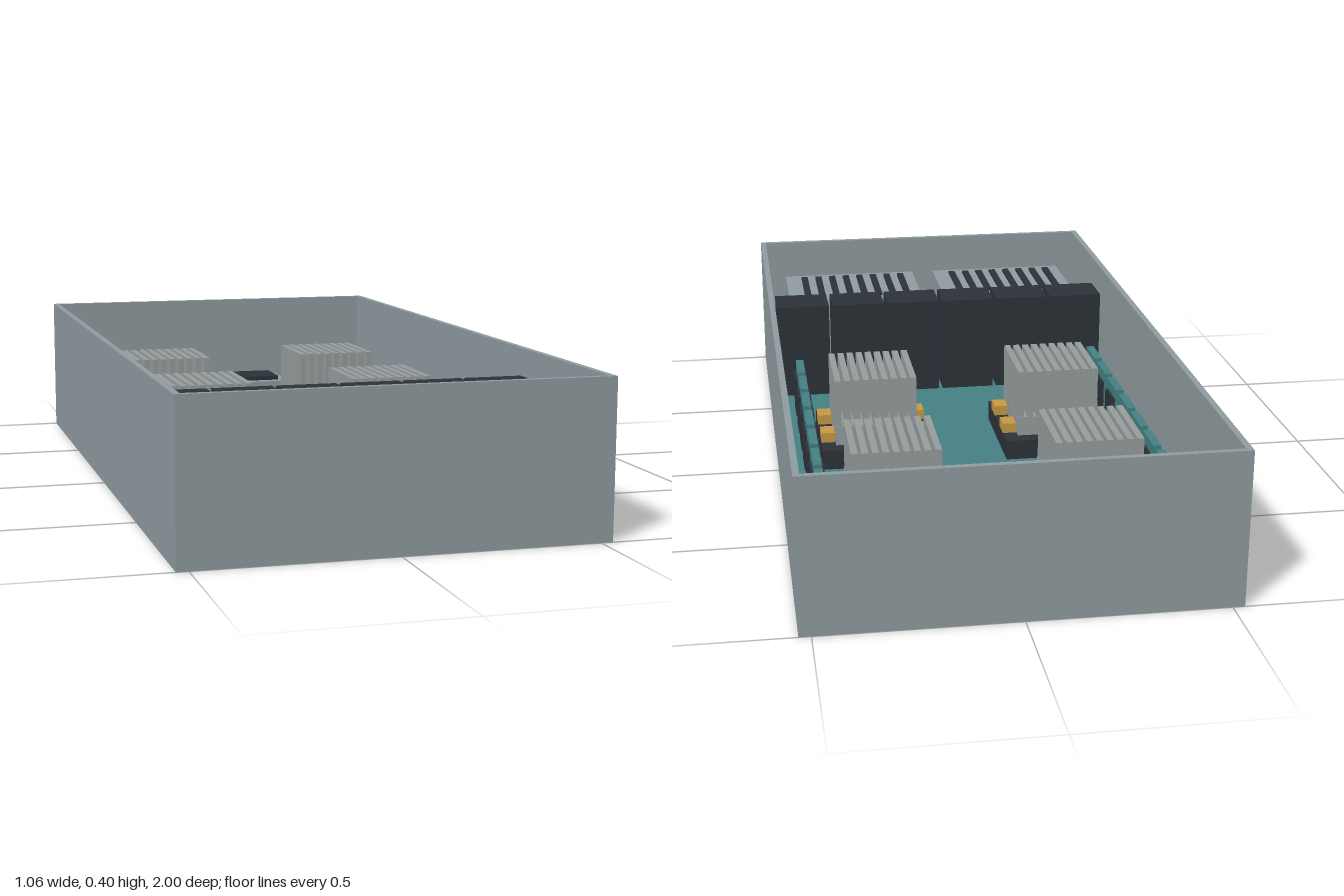
import * as THREE from 'three';

const mat = (name, color) => Object.assign(new THREE.MeshStandardMaterial({ color }), { name });

export function createModel() {
  const steel = mat('chassis steel', 0x919ea2);
  const alu = mat('heatsink aluminium', 0x989f9f);
  const teal = mat('board teal', 0x458285);
  const dark = mat('dark plastic', 0x2d333a);
  const gold = mat('gold', 0xc99a45);

  const model = new THREE.Group();
  model.name = 'openServerChassis';

  // Adds a box given by its x centre, bottom and top, z centre
  const box = (parent, name, m, x, y0, y1, z, w, d) => {
    const mesh = new THREE.Mesh(new THREE.BoxGeometry(w, y1 - y0, d), m);
    mesh.position.set(x, (y0 + y1) / 2, z);
    mesh.name = name;
    parent.add(mesh);
    return mesh;
  };
  const part = (name, x, z) => {
    const g = new THREE.Group();
    g.name = name;
    g.position.set(x, 0, z);
    model.add(g);
    return g;
  };

  // Tray: one hollow wall ring plus a floor
  const H = 0.4, W = 1.06, L = 2, T = 0.016, board = 0.045;
  const rect = (P, w, l) => {
    const p = new P();
    p.moveTo(-w / 2, -l / 2).lineTo(w / 2, -l / 2).lineTo(w / 2, l / 2).lineTo(-w / 2, l / 2).closePath();
    return p;
  };
  const ring = rect(THREE.Shape, W, L);
  ring.holes.push(rect(THREE.Path, W - 2 * T, L - 2 * T));
  const walls = new THREE.Mesh(
    new THREE.ExtrudeGeometry(ring, { depth: H, bevelEnabled: false }).rotateX(-Math.PI / 2), steel);
  walls.name = 'walls';
  model.add(walls);
  box(model, 'floor', steel, 0, 0, 0.02, 0, W - 2 * T, L - 2 * T);
  box(model, 'mainBoard', teal, 0, 0.02, board, -0.07, 1.0, 1.64);

  // Four processors: socket, gold contacts, finned heatsink
  for (const x of [-0.257, 0.257]) for (const z of [-0.495, 0.04]) {
    const cpu = part('processor', x, z);
    box(cpu, 'socket', dark, 0, board, 0.1, 0, 0.305, 0.325);
    box(cpu, 'heatsinkBase', alu, 0, 0.1, 0.155, 0, 0.228, 0.246);
    for (let i = 0; i < 9; i++)
      box(cpu, 'heatsinkFin', alu, (i - 4) * 0.0262, 0.155, 0.288, 0, 0.017, 0.24);
    for (const sx of [-1, 1]) for (const sz of [-1, 1])
      box(cpu, 'goldContact', gold, sx * 0.134, 0.1, 0.128, sz * 0.071, 0.038, 0.055);
  }

  // Memory sticks along both sides, with chips on their faces
  for (const x of [-0.445, 0.445]) for (let i = 0; i < 8; i++) {
    const stick = part('memoryModule', x, -0.695 + i * 0.142);
    box(stick, 'memoryBoard', teal, 0, board, 0.205, 0, 0.022, 0.115);
    box(stick, 'memoryChips', dark, 0, 0.065, 0.175, 0, 0.038, 0.088);
  }

  // Row of fans with round rotors facing the front
  for (let i = 0; i < 6; i++) {
    const fan = part('fan', (i - 2.5) * 0.1693, 0.55);
    box(fan, 'fanHousing', dark, 0, board, 0.33, 0, 0.158, 0.127);
    for (const [name, r, z0, z1] of [['fanRing', 0.058, 0.06, 0.082], ['fanHub', 0.026, 0.08, 0.091]]) {
      const disc = new THREE.Mesh(new THREE.CylinderGeometry(r, r, z1 - z0, 20).rotateX(Math.PI / 2), dark);
      disc.name = name;
      disc.position.set(0, 0.188, (z0 + z1) / 2);
      fan.add(disc);
    }
  }

  // Two power supplies at the front with slotted tops
  for (const x of [-0.244, 0.244]) {
    const psu = part('powerSupply', x, 0.81);
    box(psu, 'supplyCase', steel, 0, 0.02, 0.293, 0, 0.42, 0.288);
    for (let i = 0; i < 8; i++)
      box(psu, 'ventSlot', dark, -0.165 + i * 0.045, 0.292, 0.3, -0.003, 0.02, 0.22);
  }

  // Four expansion modules at the back
  for (let i = 0; i < 4; i++) {
    const module = part('rearModule', (i - 1.5) * 0.243, -0.875);
    box(module, 'moduleCase', steel, 0, 0.02, 0.147, 0, 0.186, 0.194);
    box(module, 'moduleChip', dark, 0, 0.147, 0.16, 0, 0.128, 0.134);
  }

  return model;
}
